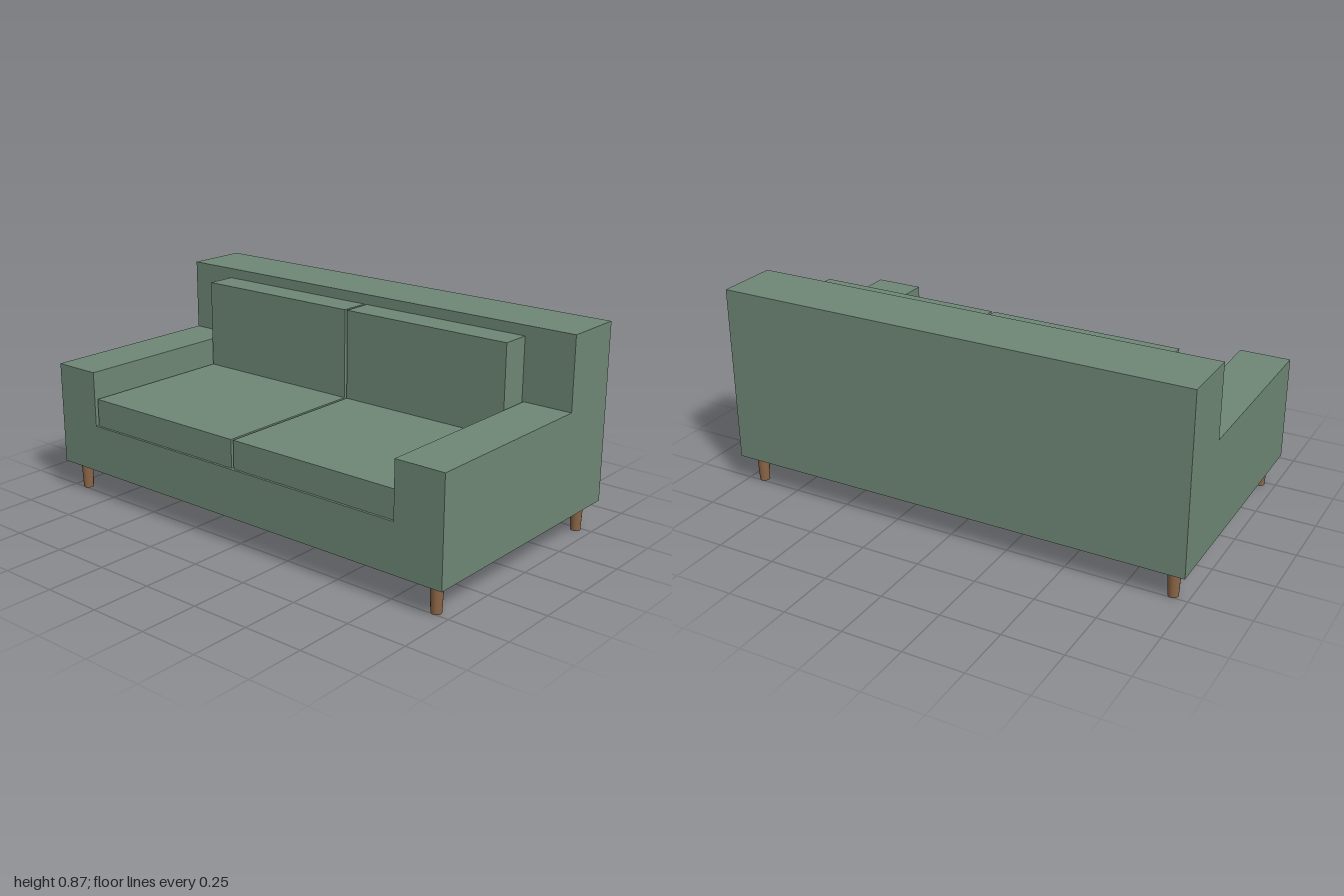
import * as THREE from 'three';

const fabric = new THREE.MeshStandardMaterial({ color: 0x6f8776 });
fabric.name = 'green fabric';
const wood = new THREE.MeshStandardMaterial({ color: 0x8b6647 });
wood.name = 'brown wood';

// Main levels and depths
const BOTTOM = 0.122, SEAT = 0.327, CUSHION = 0.445, ARM = 0.562, TOP = 0.868;
const HALF_DEPTH = 0.545, BACK_FRONT = -0.279, ARM_INNER = 0.787;

// Box given by its minimum and maximum corners
function block(name, min, max) {
  const size = max.map((v, i) => v - min[i]);
  const mesh = new THREE.Mesh(new THREE.BoxGeometry(...size), fabric);
  mesh.position.set(...max.map((v, i) => (v + min[i]) / 2));
  mesh.name = name;
  return mesh;
}

export function createModel() {
  const sofa = new THREE.Group();
  sofa.name = 'sofa';

  // Base and both arms: one U-shaped front profile
  const profile = new THREE.Shape([
    [-1, BOTTOM], [1, BOTTOM], [1, ARM], [ARM_INNER, ARM],
    [ARM_INNER, SEAT], [-ARM_INNER, SEAT], [-ARM_INNER, ARM], [-1, ARM],
  ].map(([x, y]) => new THREE.Vector2(x, y)));
  const frame = new THREE.Mesh(
    new THREE.ExtrudeGeometry(profile, { depth: HALF_DEPTH - BACK_FRONT, bevelEnabled: false }), fabric);
  frame.position.z = BACK_FRONT;
  frame.name = 'baseAndArms';
  sofa.add(frame);

  // Backrest
  sofa.add(block('backrest', [-1, BOTTOM, -HALF_DEPTH], [1, TOP, BACK_FRONT]));

  // Seat and back cushions, with narrow gaps between them
  for (const [side, x0, x1] of [['left', 0.006, 0.78], ['right', -0.78, -0.006]]) {
    sofa.add(block(side + 'SeatCushion', [x0, SEAT, BACK_FRONT], [x1, CUSHION, 0.535]));
    sofa.add(block(side + 'BackCushion', [x0, CUSHION, BACK_FRONT], [x1, 0.825, -0.151]));
  }

  // Tapered round legs
  const legGeometry = new THREE.CylinderGeometry(0.026, 0.021, BOTTOM, 20);
  for (const x of [-0.936, 0.936]) {
    for (const z of [-0.482, 0.482]) {
      const leg = new THREE.Mesh(legGeometry, wood);
      leg.position.set(x, BOTTOM / 2, z);
      leg.name = (z > 0 ? 'front' : 'back') + (x > 0 ? 'Left' : 'Right') + 'Leg';
      sofa.add(leg);
    }
  }
  return sofa;
}
